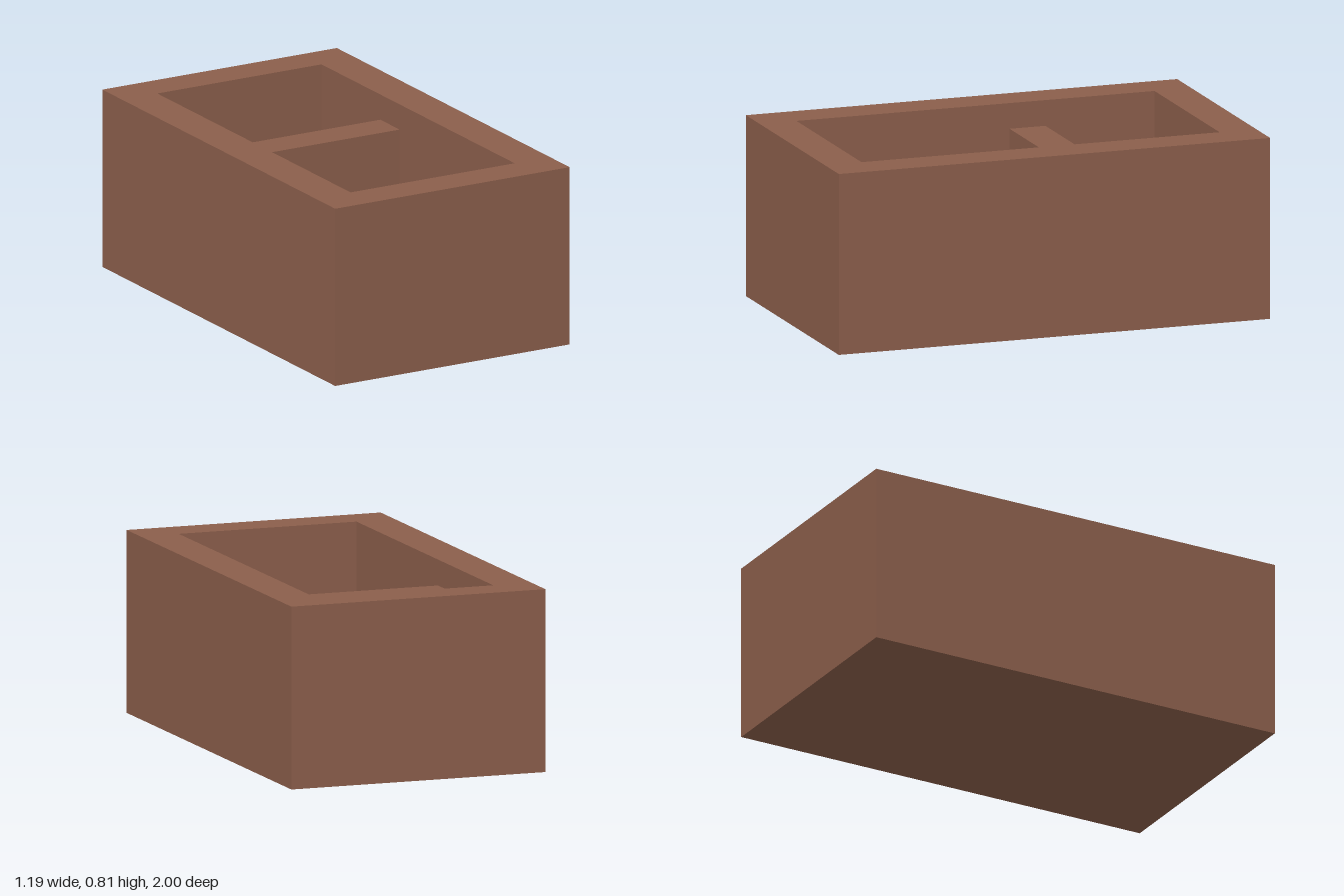
import * as THREE from 'three';

const WIDTH = 1.186, LENGTH = 2, HEIGHT = 0.81;
const INNER_WIDTH = 0.83, INNER_LENGTH = 1.66, FLOOR = 0.115;

function rectangle(PathType, w, l) {
  return new PathType([[-1, -1], [1, -1], [1, 1], [-1, 1]].map(
    ([x, y]) => new THREE.Vector2(x * w / 2, y * l / 2)));
}

// Extrudes a plan outline upwards from y = 0
function extrudeUp(shape, height) {
  const geometry = new THREE.ExtrudeGeometry(shape, { depth: height, bevelEnabled: false });
  return geometry.rotateX(-Math.PI / 2);
}

export function createModel() {
  const model = new THREE.Group();
  model.name = 'dividedBox';
  const brown = new THREE.MeshStandardMaterial({ color: 0x8b5e4b });
  brown.name = 'brown';

  const add = (name, geometry, y, z = 0) => {
    const mesh = new THREE.Mesh(geometry, brown);
    mesh.name = name;
    mesh.position.set(0, y, z);
    model.add(mesh);
  };

  // Thick walls around one open well
  const outline = rectangle(THREE.Shape, WIDTH, LENGTH);
  outline.holes.push(rectangle(THREE.Path, INNER_WIDTH, INNER_LENGTH));
  add('walls', extrudeUp(outline, HEIGHT), 0);

  // Floor closing the bottom of the well
  add('floor', new THREE.BoxGeometry(INNER_WIDTH, FLOOR, INNER_LENGTH), FLOOR / 2);

  // Cross wall, lower than the rim, nearer the back
  const dividerHeight = 0.695 - FLOOR;
  add('divider', new THREE.BoxGeometry(INNER_WIDTH, dividerHeight, 0.166), FLOOR + dividerHeight / 2, -0.241);

  return model;
}
